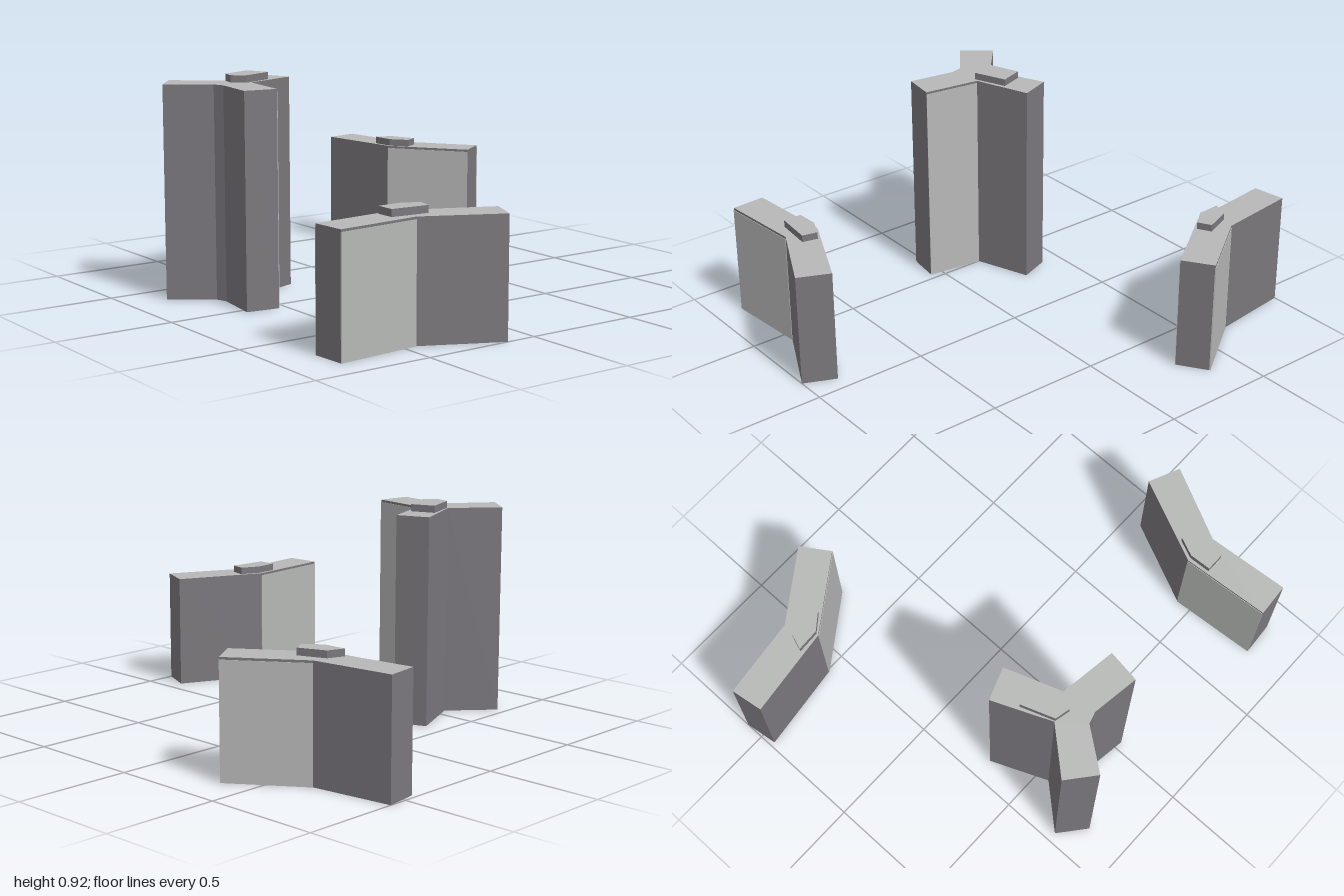
import * as THREE from 'three';

const stone = new THREE.MeshStandardMaterial({ name: 'purplish grey wall', color: 0x7a777c });
const pale = new THREE.MeshStandardMaterial({ name: 'pale grey roof', color: 0xb6b8b6 });

// Upright prism from an [x, z] footprint: pale caps, stone sides
function prism(name, points, base, height) {
  const shape = new THREE.Shape(points.map(([x, z]) => new THREE.Vector2(x, -z)));
  const geometry = new THREE.ExtrudeGeometry(shape, { depth: height, bevelEnabled: false });
  geometry.rotateX(-Math.PI / 2).translate(0, base, 0);
  const mesh = new THREE.Mesh(geometry, [pale, stone]);
  mesh.name = name;
  return mesh;
}

// Thin pale facing on one wall, stopping just under the roof edge
function facing([ax, az], [bx, bz], height) {
  const length = Math.hypot(bx - ax, bz - az);
  const mesh = new THREE.Mesh(new THREE.BoxGeometry(length, height, 0.005), pale);
  mesh.position.set((ax + bx) / 2, height / 2, (az + bz) / 2);
  mesh.rotation.y = -Math.atan2(bz - az, bx - ax);
  mesh.name = 'paleWall';
  return mesh;
}

// paleWalls lists the footprint edges that carry a pale facing
const buildings = [
  {
    name: 'backBlock', height: 0.49, paleWalls: [1, 3],
    plan: [[-1, -0.58], [-0.65, -0.625], [-0.36, -0.83], [-0.28, -0.71], [-0.59, -0.49], [-0.98, -0.44]],
    hut: [[-0.69, -0.495], [-0.665, -0.565], [-0.55, -0.61], [-0.52, -0.555], [-0.59, -0.5]],
  },
  {
    name: 'sideBlock', height: 0.49, paleWalls: [3, 5],
    plan: [[0.7, 0.43], [0.865, 0.07], [1, 0.13], [0.845, 0.445], [0.875, 0.805], [0.73, 0.815]],
    hut: [[0.715, 0.43], [0.75, 0.35], [0.815, 0.365], [0.8, 0.525], [0.72, 0.525]],
  },
  {
    name: 'threeWingTower', height: 0.89, paleWalls: [2],
    plan: [[-0.41, 0.31], [-0.275, 0.26], [-0.19, 0.5], [0.055, 0.535], [0.035, 0.675],
      [-0.17, 0.645], [-0.22, 0.66], [-0.345, 0.825], [-0.46, 0.73], [-0.305, 0.555]],
    hut: [[-0.35, 0.415], [-0.25, 0.38], [-0.195, 0.52], [-0.235, 0.57], [-0.3, 0.555]],
  },
];

export function createModel() {
  const model = new THREE.Group();
  model.name = 'buildings';
  for (const { name, height, paleWalls, plan, hut } of buildings) {
    const group = new THREE.Group();
    group.name = name;
    group.add(prism('body', plan, 0, height));
    group.add(prism('rooftopHut', hut, height, 0.03));
    for (const i of paleWalls) group.add(facing(plan[i], plan[(i + 1) % plan.length], height - 0.01));
    model.add(group);
  }
  return model;
}
